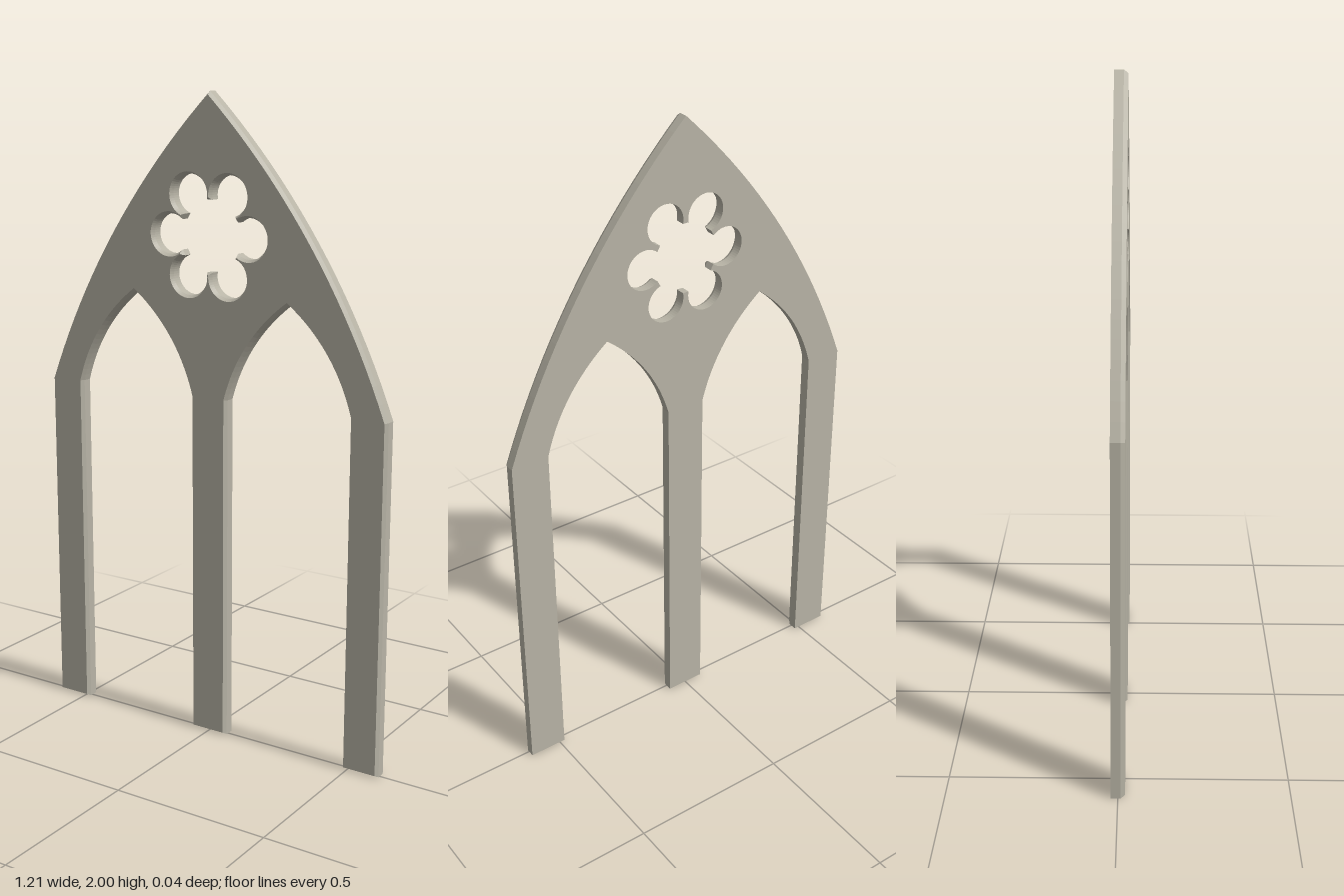
import * as THREE from 'three';

const BEVEL = 0.007;        // inset of the chamfer on the front
const CHAMFER_DEPTH = 0.013;
const BACK_DEPTH = 0.028;   // straight part of the thickness

// Outline: pointed outer arch, three legs and two lancet openings
function archOutline() {
  const s = new THREE.Shape();
  const spring = 1.09;
  s.moveTo(-0.603, 0);
  s.lineTo(-0.483, 0);
  lancet(s, -0.483, -0.063, spring);
  s.lineTo(0.063, 0);
  lancet(s, 0.063, 0.483, spring);
  s.lineTo(0.603, 0);
  s.lineTo(0.603, spring);
  s.quadraticCurveTo(0.405, 1.612, 0, 2);
  s.quadraticCurveTo(-0.405, 1.612, -0.603, spring);
  return s;
}

// Pointed opening from x0 to x1, ending back at the floor
function lancet(s, x0, x1, spring) {
  const mid = (x0 + x1) / 2;
  s.lineTo(x0, spring);
  s.quadraticCurveTo(x0 + 0.052, 1.278, mid, 1.397);
  s.quadraticCurveTo(x1 - 0.052, 1.278, x1, spring);
  s.lineTo(x1, 0);
}

// Six-lobed rosette with blunt cusps between the lobes
function rosette(cx, cy) {
  const p = new THREE.Path();
  const reach = THREE.MathUtils.degToRad(132);
  for (let i = 0; i < 6; i++) {
    const a = i * Math.PI / 3;
    p.absarc(cx + 0.139 * Math.cos(a), cy + 0.139 * Math.sin(a), 0.061, a - reach, a + reach, false);
  }
  return p;
}

export function createModel() {
  const group = new THREE.Group();
  group.name = 'gothicWindowTracery';
  const stone = new THREE.MeshStandardMaterial({ color: 0xb8b4a6 });
  stone.name = 'stone';

  const shape = archOutline();
  shape.holes.push(rosette(0, 1.58));
  const geo = new THREE.ExtrudeGeometry(shape, {
    depth: BACK_DEPTH, curveSegments: 20, bevelEnabled: true, bevelSegments: 1,
    bevelSize: BEVEL, bevelOffset: -BEVEL, bevelThickness: CHAMFER_DEPTH,
  });

  // Flatten the rear chamfer so that only the front edge is bevelled
  const pos = geo.attributes.position;
  for (let i = 0; i < pos.count; i++) pos.setZ(i, Math.max(pos.getZ(i), 0));
  geo.translate(0, 0, -(BACK_DEPTH + CHAMFER_DEPTH) / 2);
  geo.computeVertexNormals();

  const tracery = new THREE.Mesh(geo, stone);
  tracery.name = 'traceryPanel';
  group.add(tracery);
  return group;
}
